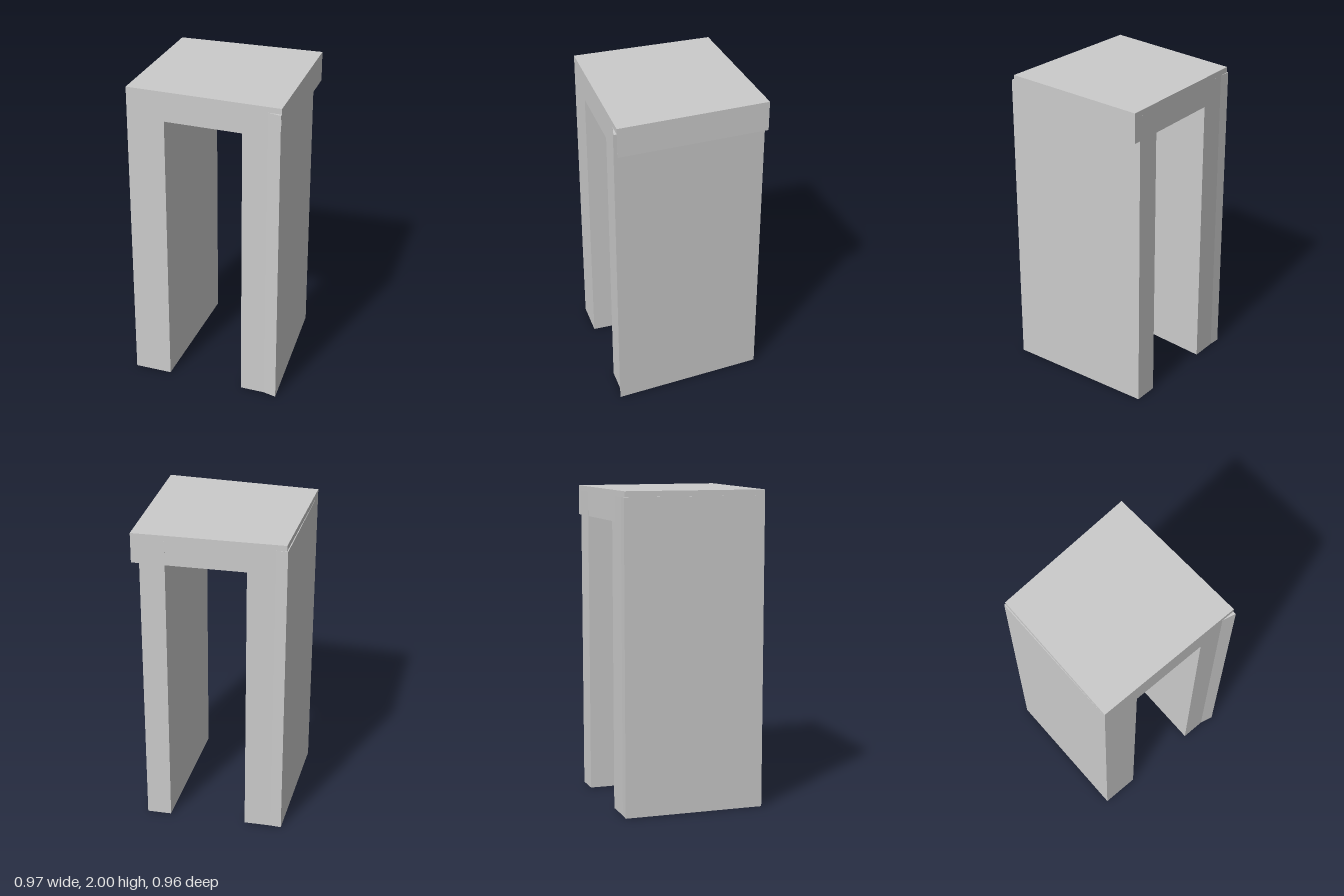
import * as THREE from 'three';

const material = new THREE.MeshStandardMaterial({ color: 0xcccccc, flatShading: true });

// Upright prism over a floor outline given as [x, z] corners
function prism(name, outline, bottom, top) {
  const shape = new THREE.Shape(outline.map(([x, z]) => new THREE.Vector2(x, -z)));
  const geometry = new THREE.ExtrudeGeometry(shape, { depth: top - bottom, bevelEnabled: false });
  geometry.rotateX(-Math.PI / 2).translate(0, bottom, 0);
  const mesh = new THREE.Mesh(geometry, material);
  mesh.name = name;
  return mesh;
}

export function createModel() {
  const group = new THREE.Group();
  group.name = 'archway';
  const legTop = 1.965;

  // Slightly skewed roof slab
  group.add(prism('roofSlab', [
    [-0.487, 0.46], [0.485, 0.46], [0.45, -0.483], [-0.48, -0.427],
  ], 1.81, 2));

  // Left wall tapers toward the back and flares at its front corner
  group.add(prism('leftWall', [
    [0.245, 0.46], [0.4, 0.46], [0.486, 0.48], [0.4, -0.48], [0.245, -0.471],
  ], 0, legTop));

  // Right wall has a small fold at its back corner
  group.add(prism('rightWall', [
    [-0.487, 0.46], [-0.247, 0.46], [-0.247, -0.441], [-0.415, -0.431], [-0.487, -0.432],
  ], 0, legTop));

  return group;
}
